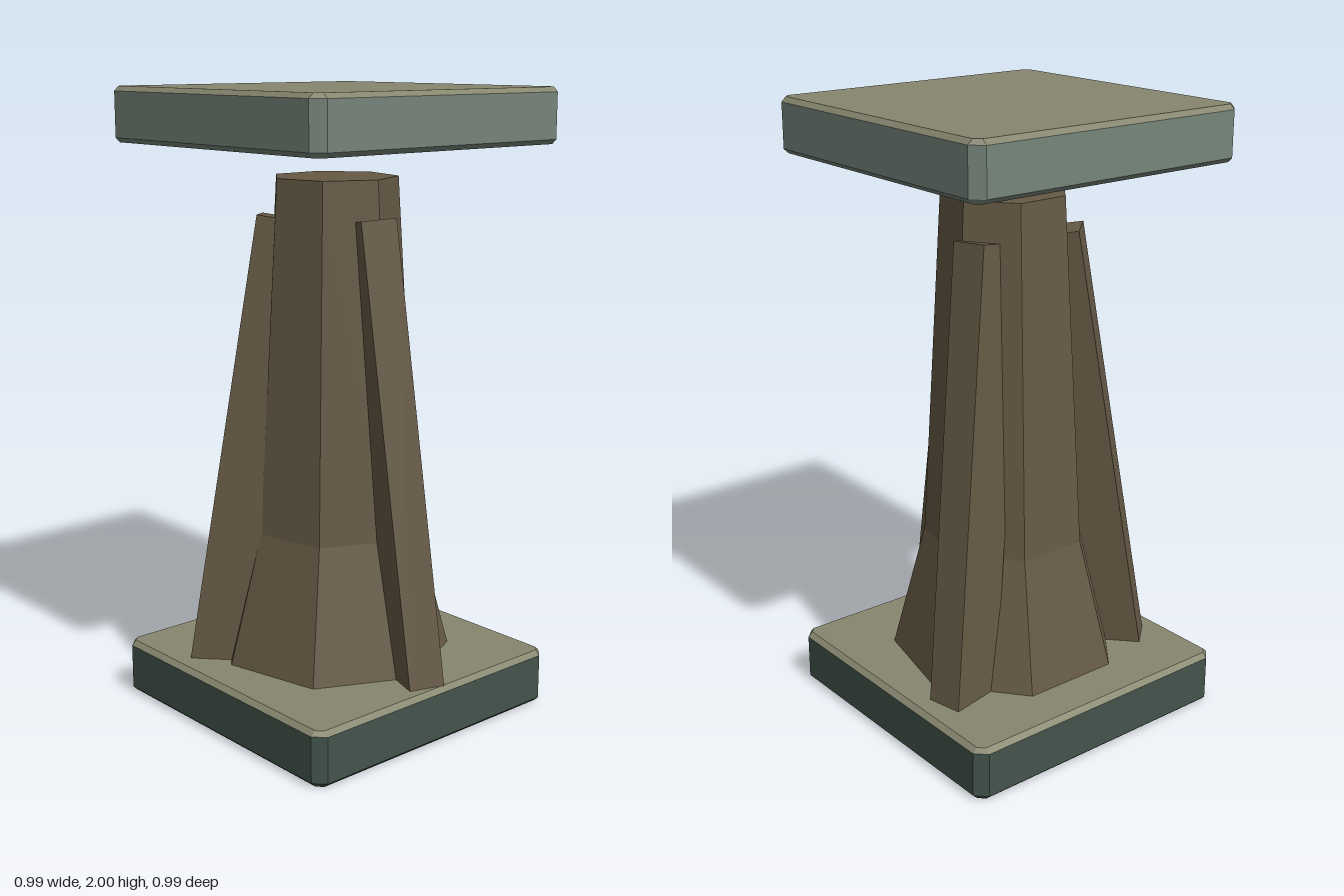
import * as THREE from 'three';

const paint = (color) => new THREE.MeshStandardMaterial({ color, flatShading: true });

function part(name, geometry, material) {
  const mesh = new THREE.Mesh(geometry, material);
  mesh.name = name;
  return mesh;
}

// Square with cut corners: h is the half width, c is where the corner cut begins
const ring = (y, h, c) =>
  [[h, c], [c, h], [-c, h], [-h, c], [-h, -c], [-c, -h], [c, -h], [h, -c]]
    .map(([x, z]) => new THREE.Vector3(x, y, z));

// Skin a stack of rings from bottom to top
function loft(rings) {
  const points = [];
  for (let r = 0; r < rings.length - 1; r++) {
    const low = rings[r], high = rings[r + 1];
    for (let i = 0; i < 8; i++) {
      const j = (i + 1) % 8;
      if (!low[i].equals(low[j])) points.push(low[j], low[i], high[i]);
      if (!high[i].equals(high[j])) points.push(low[j], high[i], high[j]);
    }
  }
  const geometry = new THREE.BufferGeometry().setFromPoints(points);
  geometry.computeVertexNormals();
  return geometry;
}

// Bevelled slab with a separately coloured upper face
function slab(name, bottom, top, sideColor, topColor) {
  const OUTER = 0.497, INNER = 0.481, CORNER = 0.462, BEVEL = 0.015;
  const group = new THREE.Group();
  group.name = name;
  const shoulder = ring(top - BEVEL, OUTER, CORNER);
  group.add(
    part(name + 'Body', loft([
      ring(bottom, 0, 0),
      ring(bottom, INNER, CORNER),
      ring(bottom + BEVEL, OUTER, CORNER),
      shoulder,
    ]), paint(sideColor)),
    part(name + 'Face', loft([
      shoulder,
      ring(top, INNER, CORNER),
      ring(top, 0, 0),
    ]), paint(topColor)),
  );
  return group;
}

export function createModel() {
  const model = new THREE.Group();
  model.name = 'pedestal';

  // Base and floating top slab
  model.add(
    slab('base', 0, 0.178, 0x43544c, 0x86866f),
    slab('topSlab', 1.828, 2, 0x76857a, 0x86866f),
  );

  // Seven-sided column, flared at the foot
  const profile = [[0, 0.15], [0.385, 0.15], [0.267, 0.6], [0.2, 1.727], [0, 1.727]]
    .map(([x, y]) => new THREE.Vector2(x, y));
  const brown = paint(0x665a45);
  model.add(part('column', new THREE.LatheGeometry(profile, 7, Math.PI / 2), brown));

  // Three leaning buttresses, each twisted a little about its own axis
  const beam = new THREE.BoxGeometry(0.182, 1.5, 0.118);
  for (let i = 0; i < 3; i++) {
    const buttress = part('buttress' + (i + 1), beam, brown);
    buttress.position.set(0.267, 0.858, -0.002);
    buttress.rotation.set(0, -0.314, 0.161, 'ZYX');
    const arm = new THREE.Group();
    arm.name = 'buttressArm' + (i + 1);
    arm.rotation.y = (i * Math.PI * 2) / 3;
    arm.add(buttress);
    model.add(arm);
  }
  return model;
}
